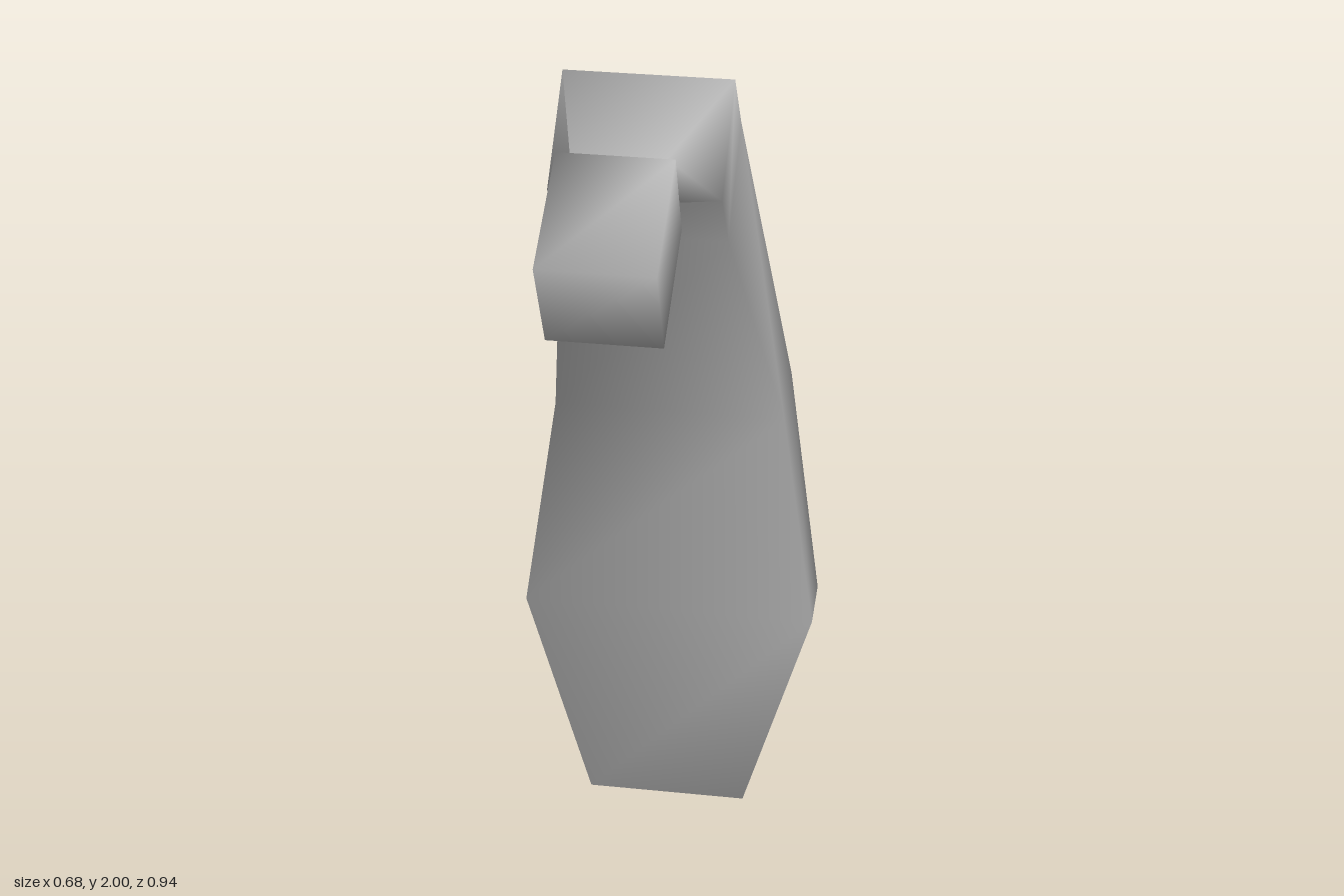
import * as THREE from 'three';

// Lofts rectangular sections into one closed, smooth-shaded skin.
// Section: [right x, left x, front y, front z, back y, back z]
function loft(sections) {
  const positions = [];
  for (const [x0, x1, fy, fz, by, bz] of sections) {
    positions.push(x0, fy, fz, x1, fy, fz, x1, by, bz, x0, by, bz);
  }
  const index = [];
  const quad = (a, b, c, d) => index.push(a, b, c, a, c, d);
  for (let i = 0; i < sections.length - 1; i++) {
    for (let j = 0; j < 4; j++) {
      const a = i * 4 + j, b = i * 4 + ((j + 1) % 4);
      quad(a, b, b + 4, a + 4);
    }
  }
  // End caps
  const e = (sections.length - 1) * 4;
  quad(3, 2, 1, 0);
  quad(e, e + 1, e + 2, e + 3);

  const geometry = new THREE.BufferGeometry();
  geometry.setAttribute('position', new THREE.Float32BufferAttribute(positions, 3));
  geometry.setIndex(index);
  geometry.computeVertexNormals();
  return geometry;
}

export function createModel() {
  const group = new THREE.Group();
  group.name = 'curvedHandle';
  const grey = new THREE.MeshStandardMaterial({ color: 0xb4b4b4 });
  grey.name = 'grey';

  // Grip, bent neck and block-shaped head in one continuous skin
  const body = new THREE.Mesh(loft([
    [-0.19, 0.19, 0.02, -0.295, 0.0, -0.453],   // grip end
    [-0.342, 0.342, 0.57, -0.306, 0.56, -0.467], // widest part of the grip
    [-0.26, 0.26, 1.12, -0.31, 1.15, -0.468],   // lower bend
    [-0.2, 0.15, 1.67, -0.09, 1.845, -0.292],   // upper bend
    [-0.2, 0.15, 1.83, 0.045, 2.0, -0.155],     // top of the neck
    [-0.13, 0.058, 1.85, 0.107, 1.975, 0.173],  // pinched joint
    [-0.15, 0.08, 1.8, 0.12, 1.997, 0.218],     // back of the head
    [-0.15, 0.08, 1.675, 0.37, 1.88, 0.47],     // face of the head
  ]), grey);
  body.name = 'handleAndHead';
  group.add(body);
  return group;
}
